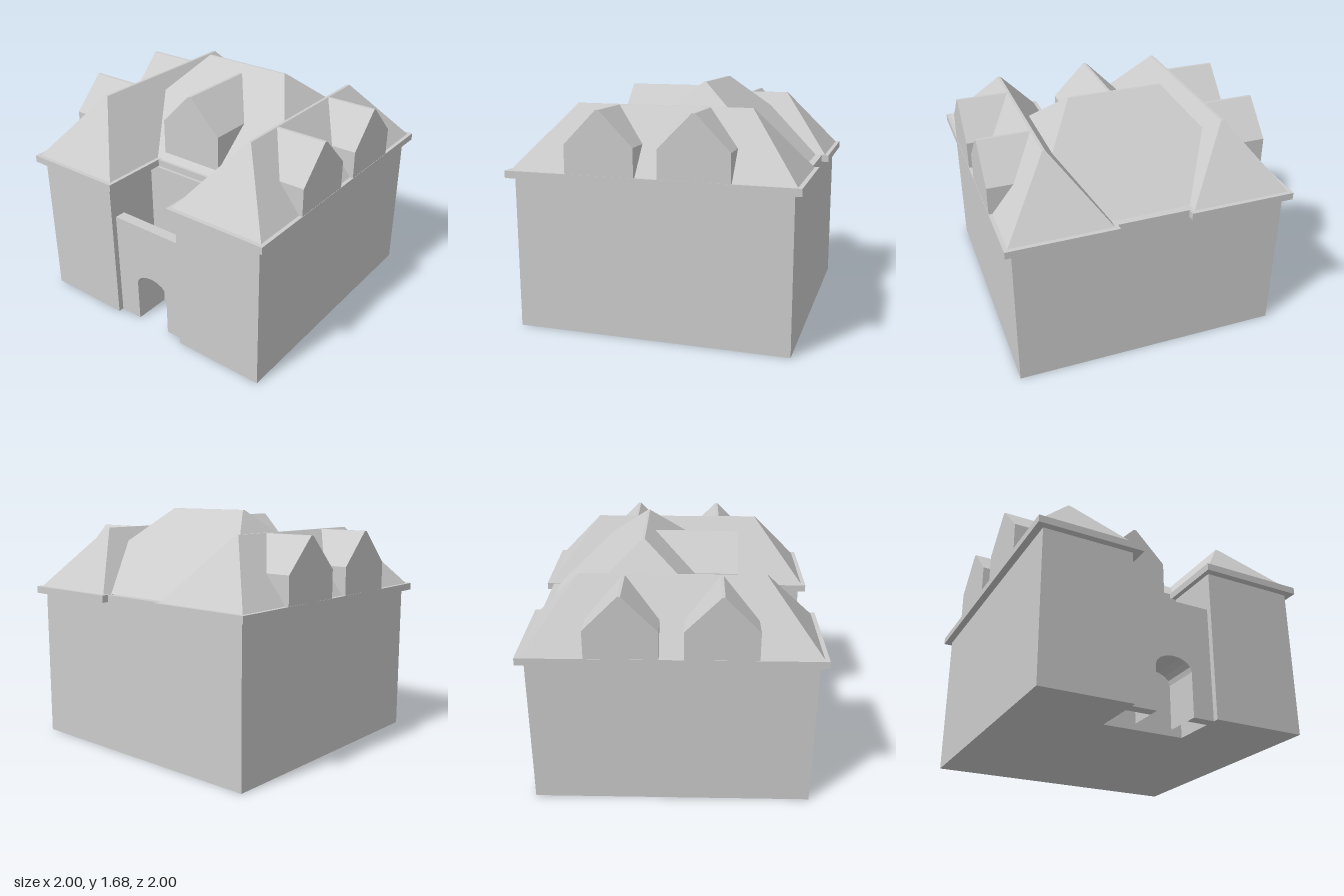
import * as THREE from 'three';

const material = new THREE.MeshStandardMaterial({ color: 0xcccccc, flatShading: true });
const thinMaterial = new THREE.MeshStandardMaterial({ color: 0xcccccc, flatShading: true, side: THREE.DoubleSide });

function add(parent, name, geometry, mat = material) {
  const mesh = new THREE.Mesh(geometry, mat);
  mesh.name = name;
  parent.add(mesh);
  return mesh;
}

// Box given by its limits on each axis
function block(x0, x1, y0, y1, z0, z1) {
  return new THREE.BoxGeometry(x1 - x0, y1 - y0, z1 - z0)
    .translate((x0 + x1) / 2, (y0 + y1) / 2, (z0 + z1) / 2);
}

// Hipped roof: a box whose upper corners are drawn in to a narrow ridge
function hipRoof(base, ridge, y0, y1) {
  const geometry = new THREE.BoxGeometry(1, 1, 1);
  const p = geometry.attributes.position;
  for (let i = 0; i < p.count; i++) {
    const top = p.getY(i) > 0;
    const [x0, x1, z0, z1] = top ? ridge : base;
    p.setXYZ(i, p.getX(i) > 0 ? x1 : x0, top ? y1 : y0, p.getZ(i) > 0 ? z1 : z0);
  }
  geometry.computeVertexNormals();
  return geometry;
}

// Gabled dormer running back along -z from its front face at z = 0
function dormer(halfWidth, base, eave, apex, depth) {
  const flat = 0.01;
  const shape = new THREE.Shape([
    [-halfWidth, base], [halfWidth, base], [halfWidth, eave],
    [flat, apex], [-flat, apex], [-halfWidth, eave],
  ].map(([x, y]) => new THREE.Vector2(x, y)));
  return new THREE.ExtrudeGeometry(shape, { depth, bevelEnabled: false }).translate(0, 0, -depth);
}

export function createModel() {
  const model = new THREE.Group();
  model.name = 'courtyardHouse';
  const wallTop = 1.06, eaveTop = 1.11;

  // U-shaped walls around the front courtyard
  const plan = new THREE.Shape([
    [-0.95, -0.95], [-0.31, -0.95], [-0.31, -0.53], [0.285, -0.53],
    [0.285, -0.95], [0.95, -0.95], [0.95, 0.95], [-0.95, 0.95],
  ].map(([x, y]) => new THREE.Vector2(x, y)));
  add(model, 'walls', new THREE.ExtrudeGeometry(plan, { depth: wallTop, bevelEnabled: false })
    .rotateX(-Math.PI / 2));

  // Gate wall with an arched doorway
  const archPoints = [[-0.135, 0], [-0.135, 0.31]];
  for (let i = 1; i < 8; i++) {
    const a = Math.PI * (1 - i / 8);
    archPoints.push([0.135 * Math.cos(a), 0.31 + 0.087 * Math.sin(a)]);
  }
  archPoints.push([0.135, 0.31], [0.135, 0]);
  const arch = archPoints.map(([x, y]) => new THREE.Vector2(x, y));
  const gate = new THREE.Shape([
    new THREE.Vector2(-0.31, 0), ...arch, new THREE.Vector2(0.285, 0),
    new THREE.Vector2(0.285, 0.8), new THREE.Vector2(-0.31, 0.8),
  ]);
  add(model, 'gateWall', new THREE.ExtrudeGeometry(gate, { depth: 0.08, bevelEnabled: false })
    .translate(0, 0, 0.83));

  // Passage behind the doorway: a thin vault closed by an end wall
  const vault = new THREE.PlaneGeometry(1, 1, arch.length - 1, 1);
  const p = vault.attributes.position;
  for (let i = 0; i < p.count; i++) {
    const point = arch[i % arch.length];
    p.setXYZ(i, point.x, point.y, i < arch.length ? 0.83 : 0.64);
  }
  vault.computeVertexNormals();
  add(model, 'passageVault', vault, thinMaterial);
  add(model, 'passageEnd', new THREE.ShapeGeometry(new THREE.Shape(arch)).translate(0, 0, 0.64), thinMaterial);

  // Raised courtyard floor
  add(model, 'courtyardFloor', new THREE.PlaneGeometry(0.595, 0.3)
    .rotateX(-Math.PI / 2).translate(-0.0125, 0.42, 0.68), thinMaterial);

  // Side wings: eaves, hipped roof and two dormers each
  for (const side of [-1, 1]) {
    const wing = new THREE.Group();
    wing.name = side > 0 ? 'leftWingRoof' : 'rightWingRoof';
    const c = side * 0.625;
    add(wing, 'wingEaves', block(c - 0.375, c + 0.375, wallTop, eaveTop, -1, 1));
    add(wing, 'wingRoof', hipRoof(
      [c - 0.348, c + 0.348, -0.97, 0.97], [c - 0.01, c + 0.01, -0.615, 0.615], eaveTop, 1.54));
    for (const z of [-0.32, 0.32]) {
      const mesh = add(wing, 'wingDormer', dormer(0.24, eaveTop, 1.305, 1.538, 0.37));
      mesh.rotation.y = side * Math.PI / 2;
      mesh.position.set(side * 0.998, 0, z);
    }
    model.add(wing);
  }

  // Central eaves, hipped roof and front dormer
  add(model, 'centralEaves', block(-0.27, 0.27, wallTop, eaveTop - 0.002, -0.95, 0.51));
  add(model, 'centralRoof', hipRoof(
    [-0.825, 0.825, -0.9, 0.49], [-0.335, 0.335, -0.213, -0.197], eaveTop - 0.002, 1.68));
  add(model, 'centralDormer', dormer(0.24, 1.145, 1.395, 1.63, 0.585)).position.z = 0.445;

  return model;
}
